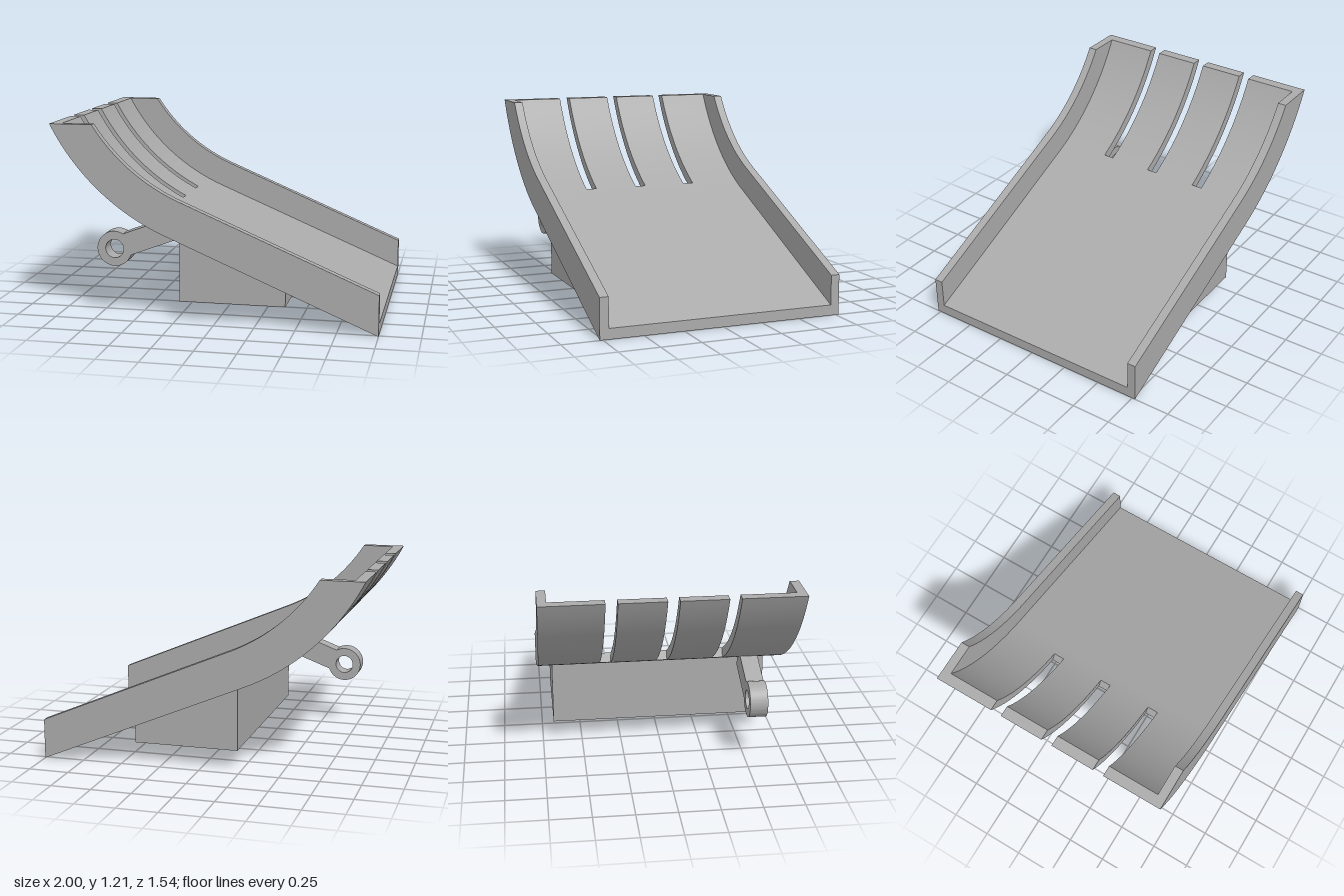
import * as THREE from 'three';
import { toCreasedNormals } from 'three/addons/utils/BufferGeometryUtils.js';

const SLOPE = Math.atan(0.423);              // incline of the straight ramp
const CX = 0.262, CY = 1.856, R = 1.415;     // centre and outer radius of the curved back
const FLOOR = 0.06, WALL = 0.23;             // thicknesses measured inward from the underside
const TOP = 1.215;                           // flat cut at the upper end
const START = -Math.PI / 2 - SLOPE;          // angle where ramp meets curve
const SLOT_END = Math.atan2(0.652 - CY, -0.36 - CX);

const onArc = (r, a) => new THREE.Vector2(CX + r * Math.cos(a), CY + r * Math.sin(a));
const topAngle = (r) => -Math.PI - Math.asin((TOP - CY) / r);
const arc = (r, a, b, n = 28) =>
  Array.from({ length: n + 1 }, (_, i) => onArc(r, a + ((b - a) * i) / n));

// Point where the straight run, offset by t, meets the vertical cut at x = 1
const lowEnd = (t) => {
  const p = onArc(R - t, START);
  return new THREE.Vector2(1, p.y - (1 - p.x) * Math.tan(SLOPE));
};

// Side profile of the ramp; endAngle cuts it radially, otherwise it runs to the top
function rampShape(t, endAngle) {
  const inner = arc(R - t, START, endAngle ?? topAngle(R - t));
  const outer = arc(R, START, endAngle ?? topAngle(R));
  return new THREE.Shape([lowEnd(0), lowEnd(t), ...inner, ...outer.reverse()]);
}

// Curved finger between the slots
function fingerShape() {
  const inner = arc(R - FLOOR, SLOT_END, topAngle(R - FLOOR));
  const outer = arc(R, SLOT_END, topAngle(R));
  return new THREE.Shape([...inner, ...outer.reverse()]);
}

export function createModel() {
  const model = new THREE.Group();
  const grey = new THREE.MeshStandardMaterial({ color: 0xaaaaaa });
  grey.name = 'grey';

  const extrude = (shape, depth) => toCreasedNormals(
    new THREE.ExtrudeGeometry(shape, { depth, bevelEnabled: false, curveSegments: 32 }), 0.5);
  const add = (name, geometry, parent = model) => {
    const mesh = new THREE.Mesh(geometry, grey);
    mesh.name = name;
    parent.add(mesh);
    return mesh;
  };
  const slab = (name, shape, z0, z1, parent) =>
    add(name, extrude(shape, z1 - z0).translate(0, 0, z0), parent);

  // Tray: floor, slotted curved back and two side walls
  const tray = new THREE.Group();
  tray.name = 'tray';
  model.add(tray);
  slab('trayFloor', rampShape(FLOOR, SLOT_END), -0.715, 0.715, tray);
  const fingers = [[-0.715, -0.387], [-0.317, -0.035], [0.035, 0.317], [0.387, 0.715]];
  for (const [a, b] of fingers) slab('backFinger', fingerShape(), a, b, tray);
  slab('leftWall', rampShape(WALL), 0.715, 0.77, tray);
  slab('rightWall', rampShape(WALL), -0.77, -0.715, tray);

  // Wedge base: lower plate with screw holes, sloped upper part
  const X0 = -0.225, X1 = 0.43, Y0 = 0.13, YM = 0.23, HALF = 0.68;
  const base = new THREE.Group();
  base.name = 'base';
  model.add(base);
  const under = (x) => lowEnd(0).y + (1 - x) * Math.tan(SLOPE) + 0.005;
  slab('baseWedge', new THREE.Shape([
    new THREE.Vector2(X0, YM), new THREE.Vector2(X1, YM),
    new THREE.Vector2(X1, under(X1)), new THREE.Vector2(X0, under(X0)),
  ]), -HALF, HALF, base);
  const plate = new THREE.Shape([
    new THREE.Vector2(X0, -HALF), new THREE.Vector2(X1, -HALF),
    new THREE.Vector2(X1, HALF), new THREE.Vector2(X0, HALF),
  ]);
  const holes = [[0.21, -0.61], [0.32, 0.05], [-0.14, -0.16], [-0.14, 0.62]];
  for (const [x, z] of holes) {
    plate.holes.push(new THREE.Path().absarc(x, -z, 0.035, 0, Math.PI * 2, true));
  }
  add('basePlate', extrude(plate, YM - Y0).rotateX(-Math.PI / 2).translate(0, Y0, 0), base);

  // Pivot arm: ring and bar in one outline, set to the left side
  const a = Math.asin(0.07 / 0.11);
  const lug = new THREE.Shape();
  lug.moveTo(0.385, -0.07);
  lug.lineTo(0.385, 0.07);
  lug.absarc(0, 0, 0.11, a, Math.PI * 2 - a, false);
  lug.closePath();
  lug.holes.push(new THREE.Path().absarc(0, 0, 0.058, 0, Math.PI * 2, true));
  const arm = add('pivotArm', extrude(lug, 0.11));
  arm.position.set(-0.655, 0.425, 0.5);
  arm.rotation.z = 0.358;

  return model;
}
